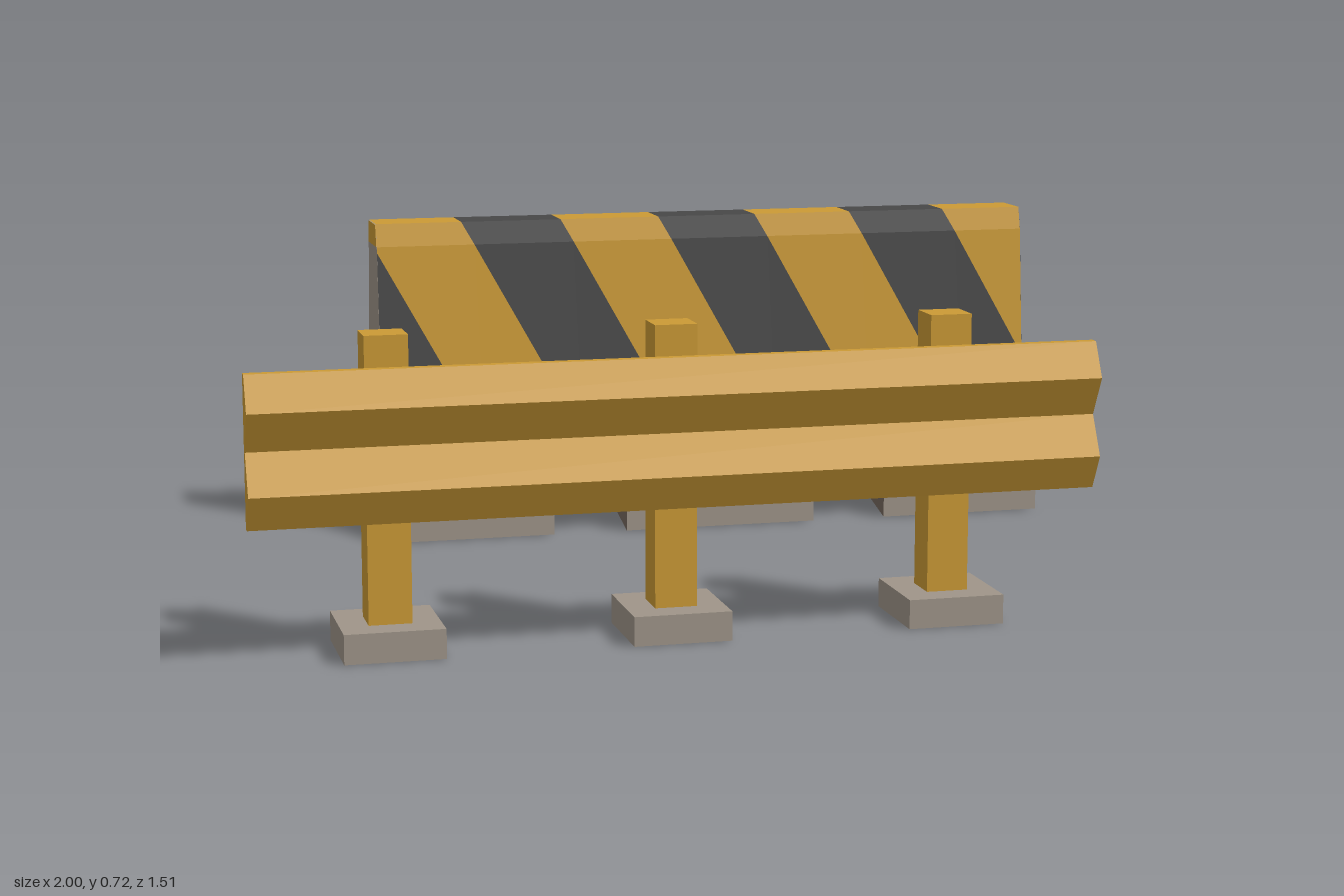
import * as THREE from 'three';

const mat = (name, color) => {
  const m = new THREE.MeshStandardMaterial({ color });
  m.name = name;
  return m;
};

function mesh(name, geometry, material, parent) {
  const m = new THREE.Mesh(geometry, material);
  m.name = name;
  parent.add(m);
  return m;
}

function fromTriangles(points) {
  const g = new THREE.BufferGeometry();
  g.setAttribute('position', new THREE.Float32BufferAttribute(points.flat(), 3));
  g.computeVertexNormals();
  return g;
}

// Prism along x between two [z, y] outlines, counter-clockwise as seen from +x.
// undersideEdges and caps may be put in a second material group.
function prism(x0, x1, a, b = a, underside = [], brownCaps = false) {
  const main = [], second = [];
  const n = a.length;
  const A = a.map(([z, y]) => [x0, y, z]), B = b.map(([z, y]) => [x1, y, z]);
  for (let i = 0; i < n; i++) {
    const j = (i + 1) % n;
    (underside.includes(i) ? second : main).push(B[i], A[i], A[j], B[i], A[j], B[j]);
  }
  const cap = brownCaps ? second : main;
  const faces = (o) => THREE.ShapeUtils.triangulateShape(o.map(([z, y]) => new THREE.Vector2(-z, y)), []);
  for (const [i, j, k] of faces(b)) cap.push(B[i], B[j], B[k]);
  for (const [i, j, k] of faces(a)) cap.push(A[i], A[k], A[j]);
  const g = fromTriangles([...main, ...second]);
  g.addGroup(0, main.length, 0);
  g.addGroup(main.length, second.length, 1);
  return g;
}

// Cut a convex polygon at x = limit, keeping the side given by sign
function clipX(poly, limit, sign) {
  const out = [];
  poly.forEach((p, i) => {
    const q = poly[(i + 1) % poly.length];
    const dp = sign * (p[0] - limit), dq = sign * (q[0] - limit);
    if (dp >= 0) out.push(p);
    if (dp * dq < 0) out.push(p.map((v, k) => v + (q[k] - v) * dp / (dp - dq)));
  });
  return out;
}

const fan = (poly) => {
  const t = [];
  for (let i = 1; i < poly.length - 1; i++) t.push(poly[0], poly[i], poly[i + 1]);
  return t;
};

export function createModel() {
  const concrete = mat('concrete', 0x9f9589);
  const underside = mat('underside concrete', 0x76685d);
  const gold = mat('yellow paint', 0xcb9a35);
  const dark = mat('dark paint', 0x474747);
  const boltMat = mat('bolt metal', 0x2e2e30);
  const model = new THREE.Group();
  model.name = 'roadBarriers';

  // ---- Concrete barrier ----
  const barrier = new THREE.Group();
  barrier.name = 'concreteBarrier';
  model.add(barrier);
  const ZC = -0.535, X0 = -0.57, X1 = 1;
  const upper = [[-0.105, 0.215], [-0.063, 0.665], [-0.05, 0.715], [0.05, 0.715], [0.063, 0.665], [0.105, 0.215]];
  const at = (pts) => pts.map(([z, y]) => [z + ZC, y]);
  const body = at([[0.205, 0.075], [-0.205, 0.075], ...upper]);
  const foot = at([[0.205, 0], [0.04, 0.04], [-0.04, 0.04], [-0.205, 0], [-0.205, 0.075], [0.205, 0.075]]);
  const notch = (back) => at([[0.174, 0.1], [0.04, 0.12], [-0.04, 0.12], [back, 0.1], ...upper]);
  const stone = [concrete, underside];

  for (const [a, b] of [[X0, -0.187], [-0.015, 0.44], [0.615, X1]]) {
    mesh('barrierBody', prism(a, b, body), stone, barrier);
    mesh('barrierFoot', prism(a, b, foot, foot, [0, 1, 2], true), stone, barrier);
  }
  // drainage notches, one with a bent lip at the back
  mesh('drainNotch', prism(-0.187, -0.015, notch(-0.184), notch(-0.184), [0, 1, 2]), stone, barrier);
  mesh('bentDrainNotch', prism(0.44, 0.615, notch(-0.18), notch(-0.22), [0, 1, 2]), stone, barrier);

  // diagonal stripes over the front, the bevel and the top, as [y, z] bands
  const E = 0.002;
  const path = [[0.218, -0.43 + E], [0.665, -0.472 + E], [0.715 + E, -0.485 + E], [0.715 + E, -0.585]];
  const paint = { gold: [], dark: [] };
  for (let k = -4; k < 7; k++) {
    const edge = (y, i) => -0.37 + 0.235 * i + 0.55 * (0.715 - y);
    for (let s = 0; s < 3; s++) {
      const [ya, za] = path[s], [yb, zb] = path[s + 1];
      let quad = [
        [edge(ya, k), ya, za], [edge(ya, k + 1), ya, za],
        [edge(yb, k + 1), yb, zb], [edge(yb, k), yb, zb]
      ];
      quad = clipX(clipX(quad, X0, 1), X1, -1);
      paint[k % 2 ? 'gold' : 'dark'].push(...fan(quad));
    }
  }
  mesh('yellowStripes', fromTriangles(paint.gold), gold, barrier);
  mesh('darkStripes', fromTriangles(paint.dark), dark, barrier);

  // painted ends
  const top = upper.slice(1, 5);
  mesh('darkEndPanel', prism(X1 - 0.002, X1 + 0.001, at([[0.0915, 0.36], [-0.0915, 0.36], ...top])), [dark, dark], barrier);
  mesh('yellowEndPanel', prism(X0 - 0.001, X0 + 0.002, at(top)), [gold, gold], barrier);

  // ---- Guard rail ----
  const guard = new THREE.Group();
  guard.name = 'guardRail';
  model.add(guard);
  const rail = [
    [0.716, 0.275], [0.696, 0.275], [0.696, 0.575], [0.716, 0.575],
    [0.752, 0.505], [0.71, 0.425], [0.752, 0.345]
  ];
  mesh('railBeam', prism(-1, 0.71, rail), [gold, gold], guard);

  const box = (name, w, y0, y1, z0, z1, material, parent) => {
    const m = mesh(name, new THREE.BoxGeometry(w, y1 - y0, z1 - z0), material, parent);
    m.position.set(0, (y0 + y1) / 2, (z0 + z1) / 2);
  };
  [-0.72, -0.146, 0.425].forEach((x, i) => {
    const post = new THREE.Group();
    post.name = 'postAssembly';
    post.position.x = x;
    guard.add(post);
    box('postBase', 0.2, 0, 0.06, 0.51, 0.71, concrete, post);
    box('post', 0.086, 0.06, 0.63, 0.57, 0.65, gold, post);
    box('spacerBlock', 0.076, 0.29, 0.56, 0.65, 0.698, gold, post);
    // one bolt on the middle post, two on the others
    for (const y of i === 1 ? [0.425] : [0.345, 0.505]) {
      const g = new THREE.CylinderGeometry(0.012, 0.012, 0.02, 8).rotateX(Math.PI / 2);
      mesh('bolt', g, boltMat, post).position.set(0, y, 0.567);
    }
  });
  return model;
}
